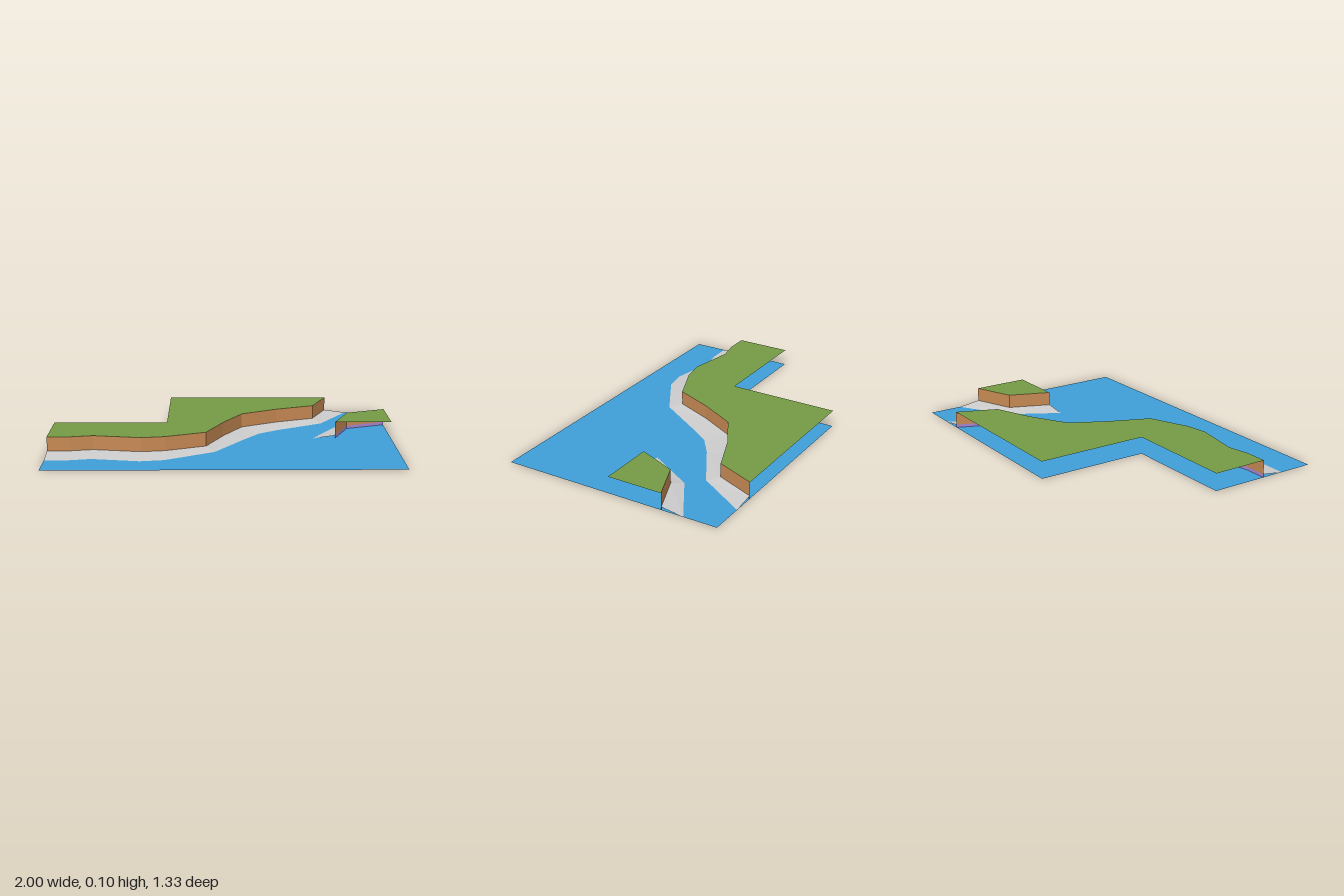
import * as THREE from 'three';

const TOP = 0.1;    // grass level
const FOOT = 0.018; // where the beach meets the cliff

const material = (color) =>
  new THREE.MeshStandardMaterial({ color, side: THREE.DoubleSide, flatShading: true });
const GRASS = material(0x759a45);
const WATER = material(0x3f9fd8);
const ROCK = material(0xc88a54);
const BASE = material(0xa985d6);
const SAND = material(0xcccccc);

function addMesh(group, name, geometry, mat) {
  const mesh = new THREE.Mesh(geometry, mat);
  mesh.name = name;
  group.add(mesh);
}

// Flat horizontal sheet from [x, z] corners
function sheet(points, y) {
  const shape = new THREE.Shape(points.map(([x, z]) => new THREE.Vector2(x, -z)));
  return new THREE.ShapeGeometry(shape).rotateX(-Math.PI / 2).translate(0, y, 0);
}

// Band of quads between a lower and an upper [x, z] line
function band(lower, lowY, upper, highY) {
  const pos = [];
  for (let i = 0; i + 1 < lower.length; i++) {
    const corner = ([x, z], y) => [x, y, z];
    const a = corner(lower[i], lowY), b = corner(lower[i + 1], lowY);
    const c = corner(upper[i + 1], highY), d = corner(upper[i], highY);
    pos.push(...a, ...b, ...c, ...a, ...c, ...d);
  }
  const geometry = new THREE.BufferGeometry();
  geometry.setAttribute('position', new THREE.Float32BufferAttribute(pos, 3));
  geometry.computeVertexNormals();
  return geometry;
}

// Raised land: grass top, cliff along the coast, cliff base and sloping beach
function land(name, coast, shore, inland) {
  const group = new THREE.Group();
  group.name = name;
  addMesh(group, 'grass', sheet([...coast, ...inland], TOP), GRASS);
  addMesh(group, 'cliff', band(coast, FOOT, coast, TOP), ROCK);
  addMesh(group, 'cliffBase', band(coast, 0, coast, FOOT), BASE);
  addMesh(group, 'beach', band(shore, 0, coast, FOOT), SAND);
  return group;
}

export function createModel() {
  const model = new THREE.Group();
  model.name = 'coastTile';

  // L-shaped sea
  addMesh(model, 'water', sheet([
    [-1, 0.667], [1, 0.667], [1, -0.667], [-0.333, -0.667], [-0.333, 0], [-1, 0],
  ], 0), WATER);

  // Main land along the back and left
  model.add(land('mainland',
    [[-1, 0.333], [-0.87, 0.333], [-0.74, 0.307], [-0.467, 0.355], [-0.333, 0.333], [-0.1, 0.235],
      [0, 0], [0.115, -0.213], [0.333, -0.337], [0.567, -0.432], [0.664, -0.667]],
    [[-1, 0.467], [-0.87, 0.467], [-0.74, 0.44], [-0.467, 0.49], [-0.333, 0.467], [-0.05, 0.297],
      [0.137, 0], [0.216, -0.115], [0.333, -0.203], [0.613, -0.368], [0.797, -0.667]],
    [[-0.333, -0.667], [-0.333, 0], [-1, 0]]));

  // Small headland on the right edge
  model.add(land('headland',
    [[1, -0.333], [0.762, -0.238], [0.665, 0]],
    [[1, -0.467], [0.7, -0.285], [0.532, 0]],
    [[1, 0]]));

  return model;
}
